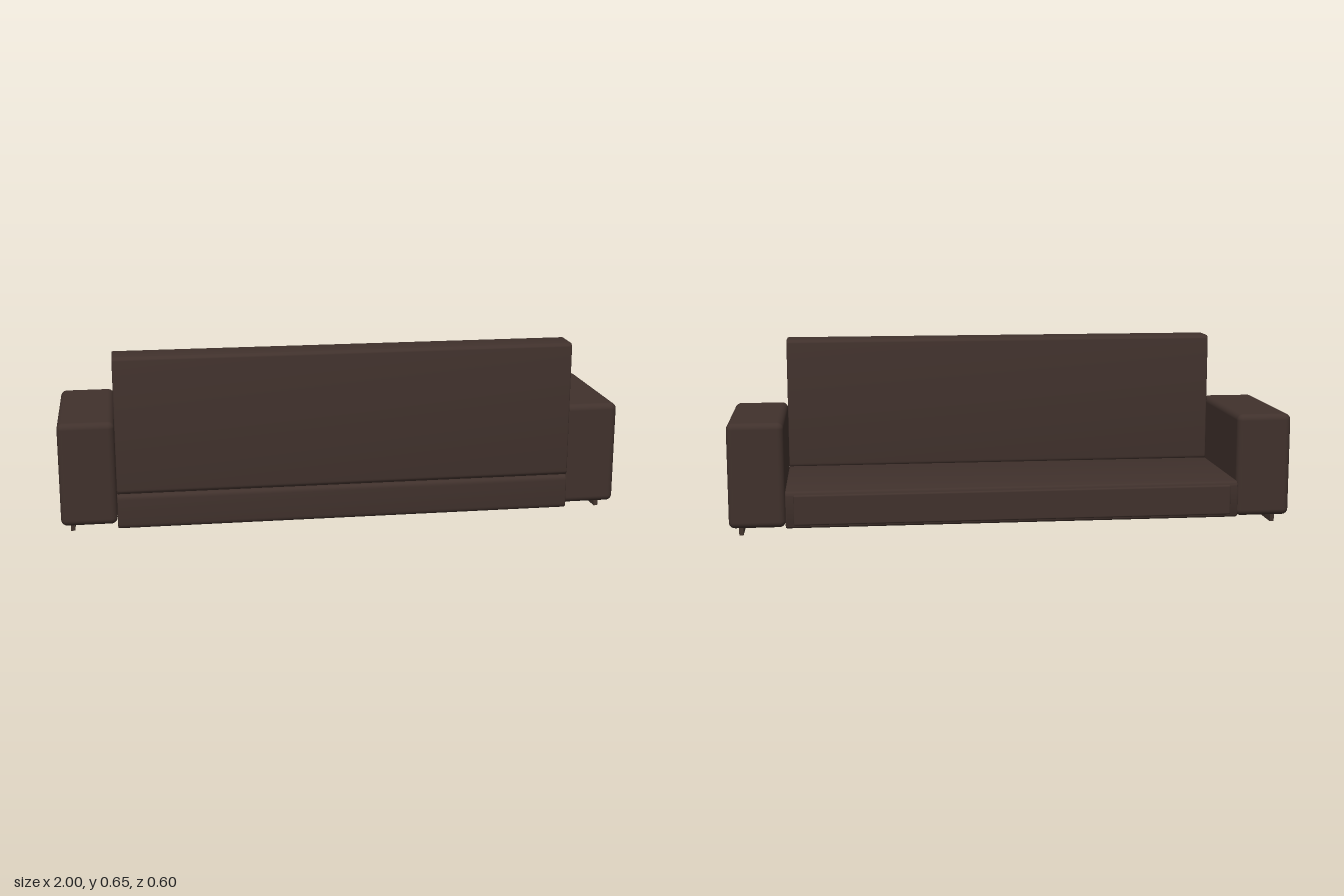
import * as THREE from 'three';
import { RoundedBoxGeometry } from 'three/addons/geometries/RoundedBoxGeometry.js';
import { toCreasedNormals } from 'three/addons/utils/BufferGeometryUtils.js';

const leather = new THREE.MeshStandardMaterial({ color: 0x40312c });
const legMaterial = new THREE.MeshStandardMaterial({ color: 0x44362f });

// Cushion: rounded z-y section swept along x, with a small bevel at both ends
function cushion(name, halfWidth, z0, z1, y0, y1, radius, bevel) {
  const a = z0 + bevel, b = z1 - bevel, c = y0 + bevel, d = y1 - bevel, r = radius;
  const s = new THREE.Shape();
  s.moveTo(-a - r, c);
  s.quadraticCurveTo(-a, c, -a, c + r);
  s.lineTo(-a, d - r);
  s.quadraticCurveTo(-a, d, -a - r, d);
  s.lineTo(-b + r, d);
  s.quadraticCurveTo(-b, d, -b, d - r);
  s.lineTo(-b, c + r);
  s.quadraticCurveTo(-b, c, -b + r, c);
  const depth = 2 * (halfWidth - bevel);
  const geo = new THREE.ExtrudeGeometry(s, {
    depth, bevelThickness: bevel, bevelSize: bevel, bevelSegments: 3, curveSegments: 6,
  });
  geo.translate(0, 0, -depth / 2);
  geo.rotateY(Math.PI / 2); // shape x becomes -z, depth becomes x
  const mesh = new THREE.Mesh(toCreasedNormals(geo, 0.7), leather);
  mesh.name = name;
  return mesh;
}

// Box given by its minimum and maximum corners, optionally rounded
function block(name, min, max, material, radius = 0) {
  const size = max.map((v, i) => v - min[i]);
  const geo = radius ? new RoundedBoxGeometry(...size, 5, radius) : new THREE.BoxGeometry(...size);
  const mesh = new THREE.Mesh(geo, material);
  mesh.name = name;
  mesh.position.set(...max.map((v, i) => (v + min[i]) / 2));
  return mesh;
}

export function createModel() {
  const sofa = new THREE.Group();
  sofa.name = 'sofa';

  // Seat, lower rear rail and backrest
  sofa.add(cushion('seat', 0.803, -0.292, 0.19, 0.042, 0.174, 0.012, 0.005));
  sofa.add(cushion('rearRail', 0.803, 0.16, 0.301, 0.042, 0.166, 0.014, 0.005));
  sofa.add(cushion('backrest', 0.803, 0.178, 0.301, 0.166, 0.652, 0.014, 0.005));

  // Raised panel along the seat's open edge
  sofa.add(block('seatEdgePanel', [-0.775, 0.055, -0.3], [0.775, 0.162, -0.28], leather, 0.006));

  // Arms with an angled runner under each
  for (const [side, x] of [['left', 1], ['right', -1]]) {
    const place = (name, x0, x1, y0, y1, z0, z1, material, r) => sofa.add(block(
      side + name, [Math.min(x * x0, x * x1), y0, z0], [Math.max(x * x0, x * x1), y1, z1], material, r));
    place('Arm', 0.804, 1, 0.041, 0.411, -0.271, 0.246, leather, 0.022);
    place('LegPlate', 0.845, 0.97, 0.027, 0.042, -0.191, 0.168, legMaterial);
    place('LegRunner', 0.955, 0.97, 0, 0.03, -0.191, 0.168, legMaterial);
  }
  return sofa;
}
